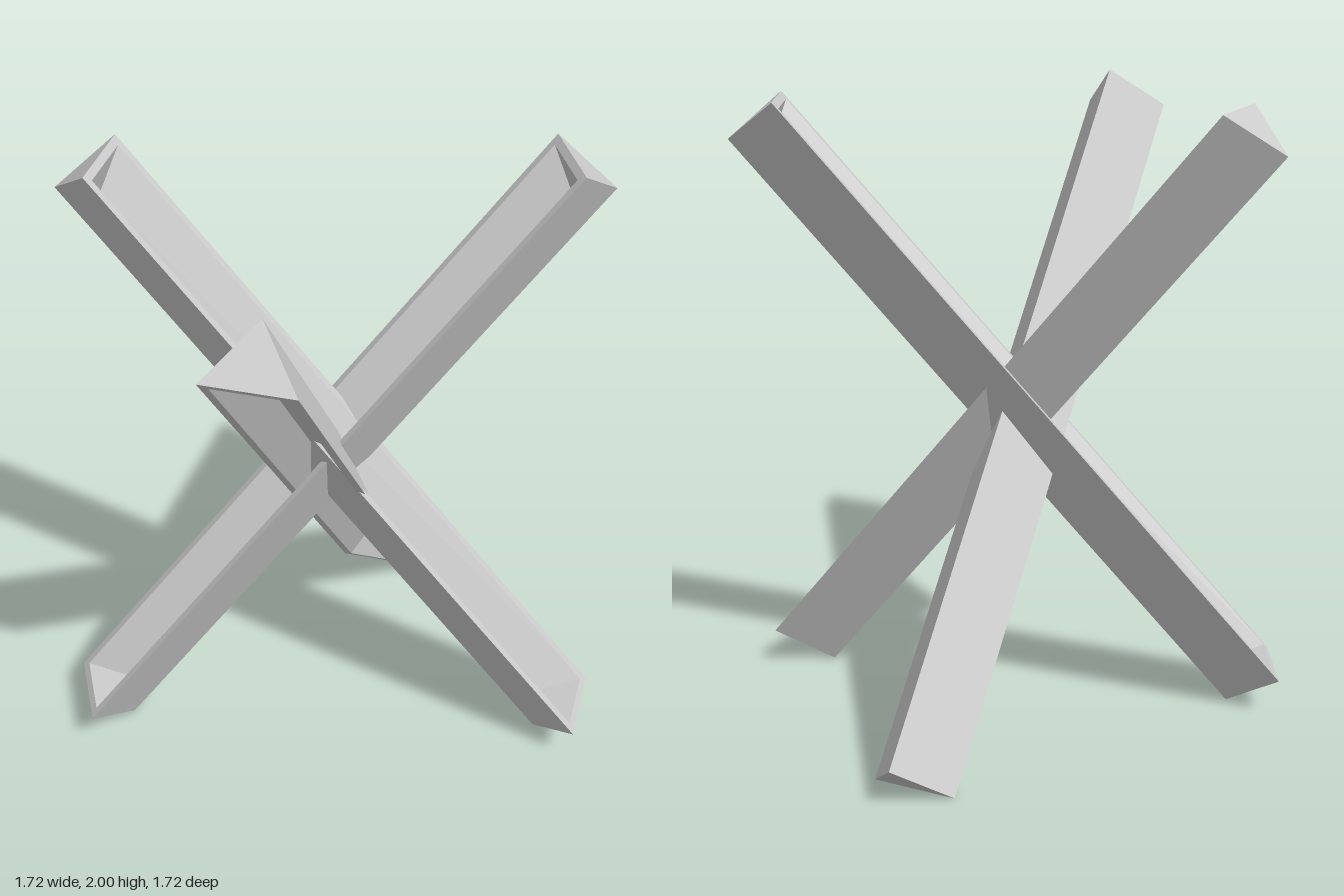
import * as THREE from 'three';

// Triangular beam along x: sharp ridge below, open tray sunk into its upper face.
// Each ring is a rectangle [half length, y, half width]; the ridge has no width.
function beamGeometry() {
  const rings = [
    [1.22, -0.099, 0],       // ridge
    [1.22, 0.099, 0.137],    // outer rim
    [1.193, 0.099, 0.11],    // inner rim
    [1.123, -0.011, 0.037],  // tray floor
  ].map(([l, y, w]) => [[l, y, w], [l, y, -w], [-l, y, -w], [-l, y, w]]);
  const positions = [];
  const quad = (a, b, c, d) => positions.push(...a, ...b, ...c, ...a, ...c, ...d);
  for (let r = 0; r < rings.length - 1; r++) {
    for (let i = 0; i < 4; i++) {
      const j = (i + 1) % 4;
      quad(rings[r][i], rings[r][j], rings[r + 1][j], rings[r + 1][i]);
    }
  }
  quad(...rings[3]);
  const geometry = new THREE.BufferGeometry();
  geometry.setAttribute('position', new THREE.Float32BufferAttribute(positions, 3));
  geometry.computeVertexNormals();
  return geometry;
}

export function createModel() {
  const group = new THREE.Group();
  group.name = 'crossedBeams';
  const geometry = beamGeometry();
  const material = new THREE.MeshStandardMaterial({ color: 0xcccccc, flatShading: true });

  // Lean shared by all beams: horizontal and vertical share of the axis
  const h = 0.643, v = 0.766;
  // Horizontal heading of the diagonal beam
  const hx = 0.893, hz = -0.45;

  const addBeam = (name, axis, open, centre) => {
    const x = new THREE.Vector3(...axis).normalize();
    const y = new THREE.Vector3(...open).normalize();
    const z = new THREE.Vector3().crossVectors(x, y);
    const mesh = new THREE.Mesh(geometry, material);
    mesh.name = name;
    mesh.quaternion.setFromRotationMatrix(new THREE.Matrix4().makeBasis(x, y, z));
    mesh.position.set(...centre);
    group.add(mesh);
  };

  addBeam('sidewaysBeam', [h, -v, 0], [v, h, 0], [0, 1, 0]);
  addBeam('forwardBeam', [0, v, h], [0, -h, v], [0, 1, 0]);
  addBeam('diagonalBeam', [hx * h, v, hz * h], [-hx * v, h, -hz * v], [0, 1, -0.036]);
  return group;
}
